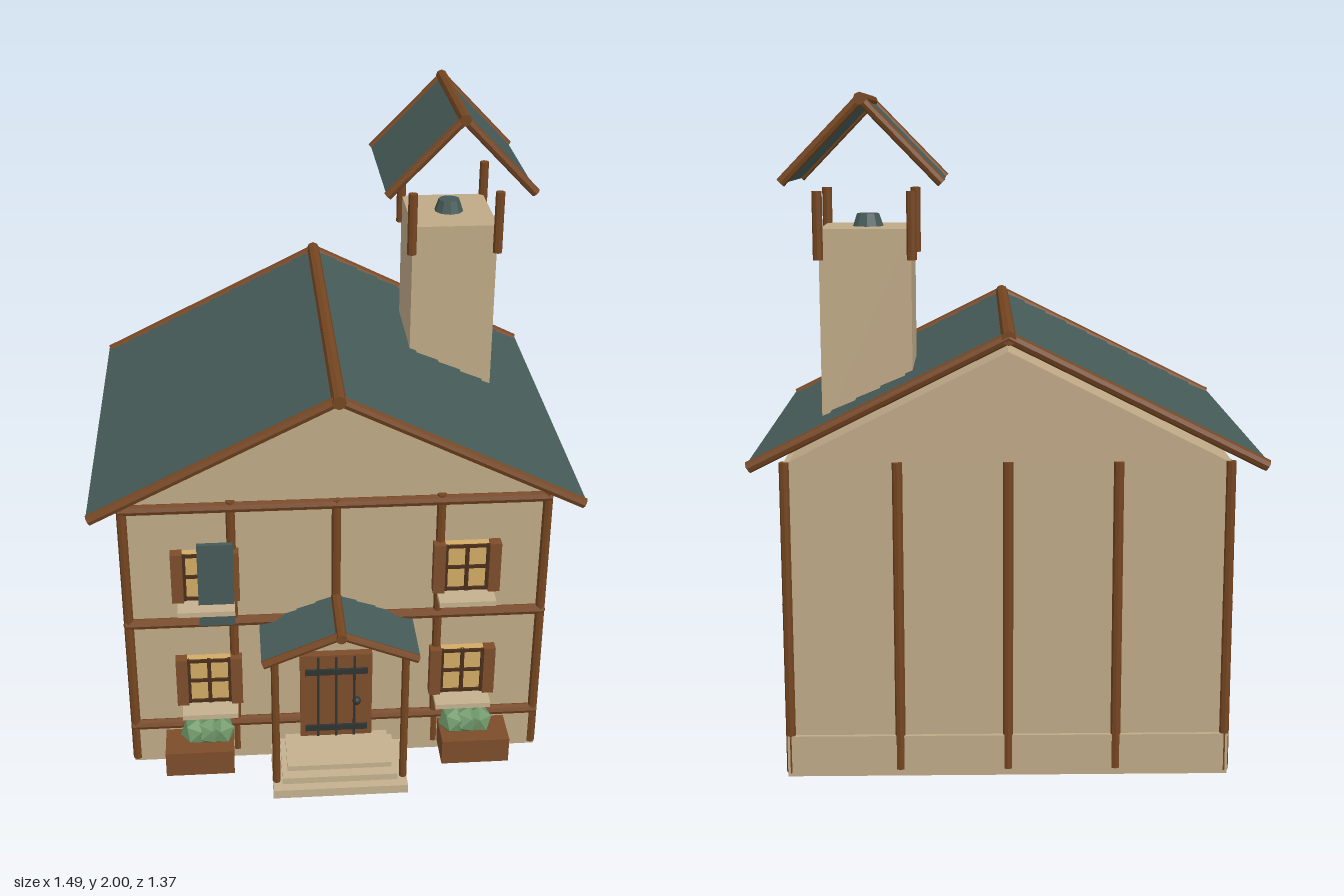
import * as THREE from 'three';

const mat = (name, color, double = false) => {
  const m = new THREE.MeshStandardMaterial({ color });
  m.name = name;
  m.flatShading = true;
  if (double) m.side = THREE.DoubleSide;
  return m;
};

export function createModel() {
  const plaster = mat('plaster', 0xbfa987);
  const stone = mat('stone', 0xc4b08f);
  const timber = mat('timber', 0x754621);
  const wood = mat('stained wood', 0x7c4c2a);
  const slate = mat('slate', 0x455a57);
  const glass = mat('warm glass', 0xd2ab66);
  const iron = mat('iron', 0x2f3433);
  const muntin = mat('dark wood', 0x4a2f1a);
  const leaf = mat('leaf', 0x6e9668);

  const house = new THREE.Group();
  house.name = 'house';

  const add = (name, geo, material, parent = house) => {
    const m = new THREE.Mesh(geo, material);
    m.name = name;
    parent.add(m);
    return m;
  };
  // box given by its extents
  const box = (name, x0, x1, y0, y1, z0, z1, material, parent) => {
    const m = add(name, new THREE.BoxGeometry(x1 - x0, y1 - y0, z1 - z0), material, parent);
    m.position.set((x0 + x1) / 2, (y0 + y1) / 2, (z0 + z1) / 2);
    return m;
  };
  // round beam between two points
  const beam = (name, a, b, r, parent) => {
    const p = new THREE.Vector3(...a), q = new THREE.Vector3(...b);
    const d = q.clone().sub(p);
    const m = add(name, new THREE.CylinderGeometry(r, r, d.length(), 8), timber, parent);
    m.position.copy(p).add(q).multiplyScalar(0.5);
    m.quaternion.setFromUnitVectors(new THREE.Vector3(0, 1, 0), d.normalize());
    return m;
  };
  const group = (name, x = 0, y = 0, z = 0) => {
    const g = new THREE.Group();
    g.name = name;
    g.position.set(x, y, z);
    house.add(g);
    return g;
  };

  // pitched roof: lapped slate rows, rafters at the given z values, ridge pole
  const gableRoof = (name, cx, o) => {
    const g = group(name, cx);
    const angle = Math.atan2(o.drop, o.half);
    const len = Math.hypot(o.drop, o.half);
    const tilt = o.rows > 1 ? 0.07 : 0;
    for (const s of [-1, 1]) {
      for (let i = 0; i < o.rows; i++) {
        const t = (i + 0.5) / o.rows;
        const row = add('slateRow', new THREE.BoxGeometry(len / o.rows * (o.rows > 1 ? 1.12 : 1), 0.008, o.z1 - o.z0), slate, g);
        row.position.set(s * t * o.half, o.top - t * o.drop, (o.z0 + o.z1) / 2);
        row.rotation.z = -s * (angle - tilt);
      }
      for (const z of o.rafters)
        beam('rafter', [0, o.top, z], [s * o.half, o.top - o.drop, z], o.r, g);
    }
    beam('ridgePole', [0, o.top, o.ridge[0]], [0, o.top, o.ridge[1]], o.r * 1.25, g);
  };

  // walls, plinth and attic
  box('walls', -0.645, 0.645, 0.12, 0.957, -0.585, 0.445, plaster);
  box('plinth', -0.655, 0.655, 0, 0.125, -0.597, 0.46, plaster);
  const gable = new THREE.Shape([[-0.63, 0.957], [0.63, 0.957], [0, 1.275]].map(p => new THREE.Vector2(...p)));
  const attic = add('attic', new THREE.ExtrudeGeometry(gable, { depth: 1.03, bevelEnabled: false }), plaster);
  attic.position.z = -0.585;

  // main roof
  gableRoof('mainRoof', 0, {
    top: 1.327, half: 0.735, drop: 0.367, z0: -0.67, z1: 0.53, rows: 10,
    rafters: [0.535, -0.67], ridge: [0.555, -0.685], r: 0.017,
  });

  // timber frame
  for (const y of [0.14, 0.53, 0.94]) beam('frontRail', [-0.655, y, 0.452], [0.655, y, 0.452], 0.017);
  beam('frontCentrePost', [0, 0.53, 0.452], [0, 0.955, 0.452], 0.014);
  for (const s of [-1, 1]) {
    beam('frontCornerPost', [s * 0.645, 0.01, 0.452], [s * 0.645, 0.955, 0.452], 0.015);
    beam('frontPost', [s * 0.32, 0.03, 0.45], [s * 0.32, 0.96, 0.45], 0.014);
    beam('backCornerPost', [s * 0.645, 0.01, -0.583], [s * 0.645, 0.955, -0.583], 0.015);
    beam('sideRail', [s * 0.645, 0.53, 0.46], [s * 0.645, 0.53, -0.585], 0.016);
    beam('sideBrace', [s * 0.645, 0.515, 0.43], [s * 0.645, 0.19, 0.165], 0.014);
    beam('sideBrace', [s * 0.645, 0.515, -0.565], [s * 0.645, 0.19, -0.3], 0.014);
  }
  for (const x of [-0.32, 0, 0.32]) beam('backPost', [x, 0.02, -0.588], [x, 0.955, -0.588], 0.015);

  // windows: group origin is the bottom centre of the glass on the front wall
  for (const sx of [-1, 1]) for (const y of [0.235, 0.625]) {
    const w = group('window', sx * 0.402, y, 0.445);
    const arch = add('windowArch', new THREE.CylinderGeometry(0.074, 0.074, 0.02, 20, 1, false, Math.PI / 2, Math.PI), slate, w);
    arch.rotation.x = -Math.PI / 2;
    arch.position.set(0, 0.147, 0.01);
    box('glass', -0.068, 0.068, 0, 0.165, 0, 0.024, glass, w);
    for (const x of [-0.065, 0, 0.065]) box('uprightBar', x - 0.006, x + 0.006, 0, 0.165, 0.02, 0.032, muntin, w);
    for (const by of [0.006, 0.085, 0.159]) box('crossBar', -0.068, 0.068, by - 0.005, by + 0.005, 0.02, 0.031, muntin, w);
    box('sill', -0.088, 0.088, -0.025, -0.008, 0, 0.085, stone, w);
    for (const s of [-1, 1]) {
      const c = s * 0.086;
      box('shutter', c - 0.018, c + 0.018, -0.002, 0.17, 0.005, 0.04, wood, w);
    }
  }
  box('hangingPanel', -0.425, -0.315, 0.54, 0.83, 0.475, 0.49, slate);

  // flower boxes
  for (const s of [-1, 1]) {
    box('planter', s * 0.44 - 0.108, s * 0.44 + 0.108, 0.033, 0.12, 0.46, 0.583, wood);
    for (let i = -1; i <= 1; i++) {
      const bush = add('bush', new THREE.IcosahedronGeometry(0.046, 0), leaf);
      bush.position.set(s * 0.412 + i * 0.042, 0.165, 0.528);
      bush.rotation.set(0.3 * i, 0.5 + i, 0.2);
    }
  }

  // door with arch, plank gaps, straps and knob
  const door = group('door', 0, 0, 0.445);
  const doorArch = add('doorArch', new THREE.CylinderGeometry(0.115, 0.115, 0.022, 24, 1, false, Math.PI / 2, Math.PI), slate, door);
  doorArch.rotation.x = -Math.PI / 2;
  doorArch.position.set(0, 0.365, 0.011);
  box('doorLeaf', -0.115, 0.115, 0.075, 0.395, 0, 0.028, wood, door);
  for (const x of [-0.058, 0, 0.058]) box('plankGap', x - 0.004, x + 0.004, 0.08, 0.39, 0.027, 0.032, iron, door);
  for (const y of [0.115, 0.335]) box('doorStrap', -0.1, 0.1, y - 0.01, y + 0.01, 0.028, 0.036, iron, door);
  add('knob', new THREE.SphereGeometry(0.014, 10, 8), iron, door).position.set(0.065, 0.225, 0.042);

  // steps
  for (const [w, y0, y1, z] of [[0.212, 0.01, 0.04, 0.685], [0.182, 0.04, 0.062, 0.655], [0.165, 0.062, 0.08, 0.62]])
    box('step', -w, w, y0, y1, 0.44, z, stone);

  // porch
  for (const s of [-1, 1]) beam('porchPost', [s * 0.2, 0.04, 0.636], [s * 0.2, 0.515, 0.636], 0.012);
  gableRoof('porchRoof', 0, {
    top: 0.606, half: 0.235, drop: 0.095, z0: 0.45, z1: 0.66, rows: 4,
    rafters: [0.665], ridge: [0.45, 0.685], r: 0.013,
  });

  // chimney with its little roof
  box('chimney', 0.28, 0.55, 1.0, 1.61, -0.405, -0.097, plaster);
  add('chimneyPot', new THREE.CylinderGeometry(0.034, 0.048, 0.04, 10), slate).position.set(0.415, 1.628, -0.251);
  for (const x of [0.278, 0.552]) for (const z of [-0.096, -0.406])
    beam('chimneyPost', [x, 1.52, z], [x, 1.72, z], 0.015);
  gableRoof('chimneyRoof', 0.415, {
    top: 1.981, half: 0.228, drop: 0.234, z0: -0.5, z1: -0.005, rows: 1,
    rafters: [0, -0.503], ridge: [0.015, -0.52], r: 0.0145,
  });

  return house;
}
